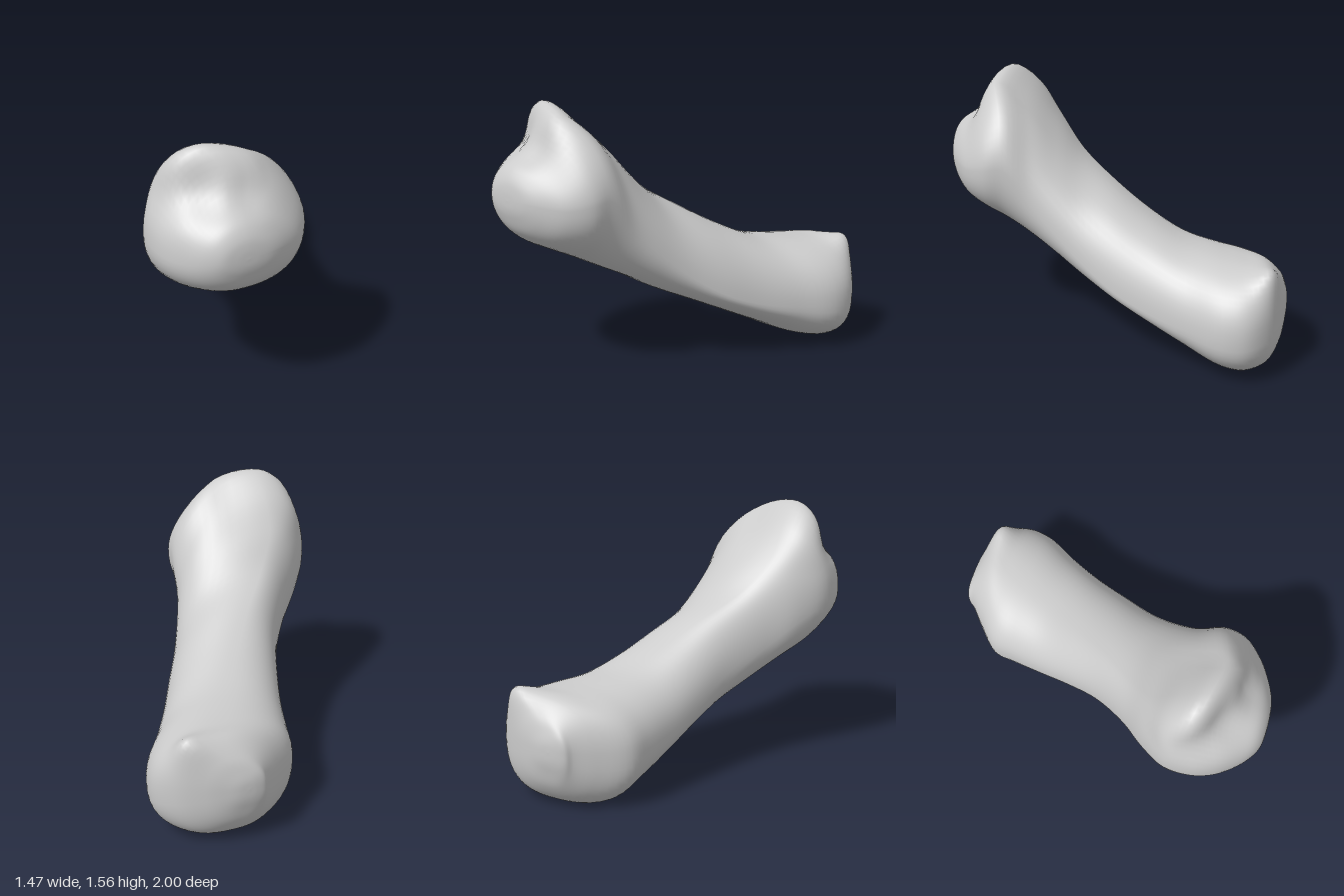
import * as THREE from 'three';

// Cross-sections from the front end to the back end:
// z, right-most point (x, y), top (x, y), left-most (x, y), bottom (x, y)
const BODY = [
  [0.985, -0.21, 1.06, -0.36, 1.17, -0.5, 1.06, -0.36, 0.96],
  [0.95, -0.12, 1.05, -0.37, 1.23, -0.56, 1.05, -0.34, 0.88],
  [0.88, 0.0, 1.04, -0.36, 1.3, -0.63, 1.03, -0.32, 0.81],
  [0.77, 0.09, 1.06, -0.34, 1.45, -0.7, 1.02, -0.27, 0.75],
  [0.65, 0.11, 1.07, -0.43, 1.56, -0.735, 1.03, -0.22, 0.69],
  [0.5, 0.13, 0.87, -0.44, 1.455, -0.725, 1.03, -0.17, 0.61],
  [0.35, 0.19, 0.71, -0.43, 1.26, -0.62, 0.94, -0.08, 0.53],
  [0.2, 0.265, 0.57, -0.31, 1.07, -0.47, 0.79, -0.02, 0.44],
  [0, 0.38, 0.43, -0.14, 0.92, -0.33, 0.63, 0.08, 0.34],
  [-0.2, 0.485, 0.35, 0.0, 0.79, -0.25, 0.5, 0.16, 0.24],
  [-0.4, 0.6, 0.31, 0.13, 0.69, -0.19, 0.39, 0.23, 0.14],
  [-0.6, 0.715, 0.3, 0.27, 0.655, -0.14, 0.34, 0.26, 0.04],
  [-0.74, 0.725, 0.31, 0.37, 0.645, -0.1, 0.31, 0.24, 0.003],
  [-0.87, 0.64, 0.34, 0.48, 0.64, 0.04, 0.3, 0.3, 0.04],
  [-0.95, 0.5, 0.36, 0.36, 0.55, 0.14, 0.33, 0.3, 0.14],
  [-0.985, 0.39, 0.37, 0.27, 0.47, 0.17, 0.36, 0.27, 0.25],
];
// Shrinks a section towards its middle, for the domed tips
const shrink = (row, z, size) =>
  row.map((n, i) => (i ? THREE.MathUtils.lerp(row[i % 2 ? 3 : 2], n, size) : z));
const frontRow = BODY[0], backRow = BODY[BODY.length - 1];
const SECTIONS = [
  shrink(frontRow, 1, 0), shrink(frontRow, 0.997, 0.5),
  ...BODY,
  shrink(backRow, -0.997, 0.5), shrink(backRow, -1, 0),
];
// Local swellings and hollows: centre, squared radius, push
const RELIEF = [
  [0.57, 0.6, -0.87, 0.008, 0.015, 0.04, 0], // pointed tubercle at the back
  [-0.66, 1.3, 0.64, 0.016, 0.035, -0.02, -0.03], // groove below the front crest
  [-0.5, 1.33, 0.76, 0.016, 0.02, -0.03, -0.05],
  [-0.28, 1.35, 0.83, 0.014, 0, -0.02, -0.04],
];
const SIDES = 56;
const STEPS = 95;

// Point on a section: four elliptic arcs joining its extremes,
// squarer below and towards the back, more cut off at the upper right
function sectionPoint([z, rx, ry, tx, ty, lx, ly, bx, by], angle) {
  const c = Math.cos(angle), s = Math.sin(angle);
  const [sideX, sideY] = c >= 0 ? [rx, ry] : [lx, ly];
  const [capX, capY] = s >= 0 ? [tx, ty] : [bx, by];
  let power = 0.89 + 0.07 * z;
  if (c > 0) power += s > 0 ? 0.1 + 0.1 * z : -0.1;
  return new THREE.Vector3(
    capX + (sideX - capX) * Math.abs(c) ** power,
    sideY + (capY - sideY) * Math.abs(s) ** power,
    z
  );
}

// Bend the front crest backwards at its sides, then add the relief
function sculpt(pos) {
  const v = new THREE.Vector3(), centre = new THREE.Vector3();
  for (let i = 0; i < pos.count; i++) {
    v.fromBufferAttribute(pos, i);
    v.z += THREE.MathUtils.smoothstep(v.y, 1.15, 1.5) * (0.05 - 0.24 * Math.abs(v.x + 0.22));
    const push = new THREE.Vector3();
    for (const [x, y, z, r2, dx, dy, dz] of RELIEF) {
      const weight = Math.exp(-v.distanceToSquared(centre.set(x, y, z)) / r2);
      push.add(centre.set(dx, dy, dz).multiplyScalar(weight));
    }
    v.add(push);
    pos.setXYZ(i, v.x, v.y, v.z);
  }
}

// Smooth closed loft through the sections
function boneGeometry() {
  const positions = [], index = [];
  const lines = [];
  for (let j = 0; j < SIDES; j++) {
    const points = SECTIONS.map((row) => sectionPoint(row, (j / SIDES) * Math.PI * 2));
    lines.push(new THREE.CatmullRomCurve3(points, false, 'centripetal'));
  }
  for (let i = 0; i <= STEPS; i++) {
    for (const line of lines) positions.push(...line.getPoint(i / STEPS).toArray());
  }
  for (let i = 0; i < STEPS; i++) {
    for (let j = 0; j < SIDES; j++) {
      const k = (j + 1) % SIDES;
      const a = i * SIDES + j, b = i * SIDES + k;
      const c = a + SIDES, d = b + SIDES;
      index.push(a, c, b, b, c, d);
    }
  }
  const geometry = new THREE.BufferGeometry();
  geometry.setAttribute('position', new THREE.Float32BufferAttribute(positions, 3));
  geometry.setIndex(index);
  sculpt(geometry.attributes.position);
  geometry.computeVertexNormals();
  return geometry;
}

export function createModel() {
  const group = new THREE.Group();
  group.name = 'fingerBone';
  const bone = new THREE.Mesh(
    boneGeometry(),
    new THREE.MeshStandardMaterial({ color: 0xcccccc })
  );
  bone.name = 'bone';
  group.add(bone);
  return group;
}
